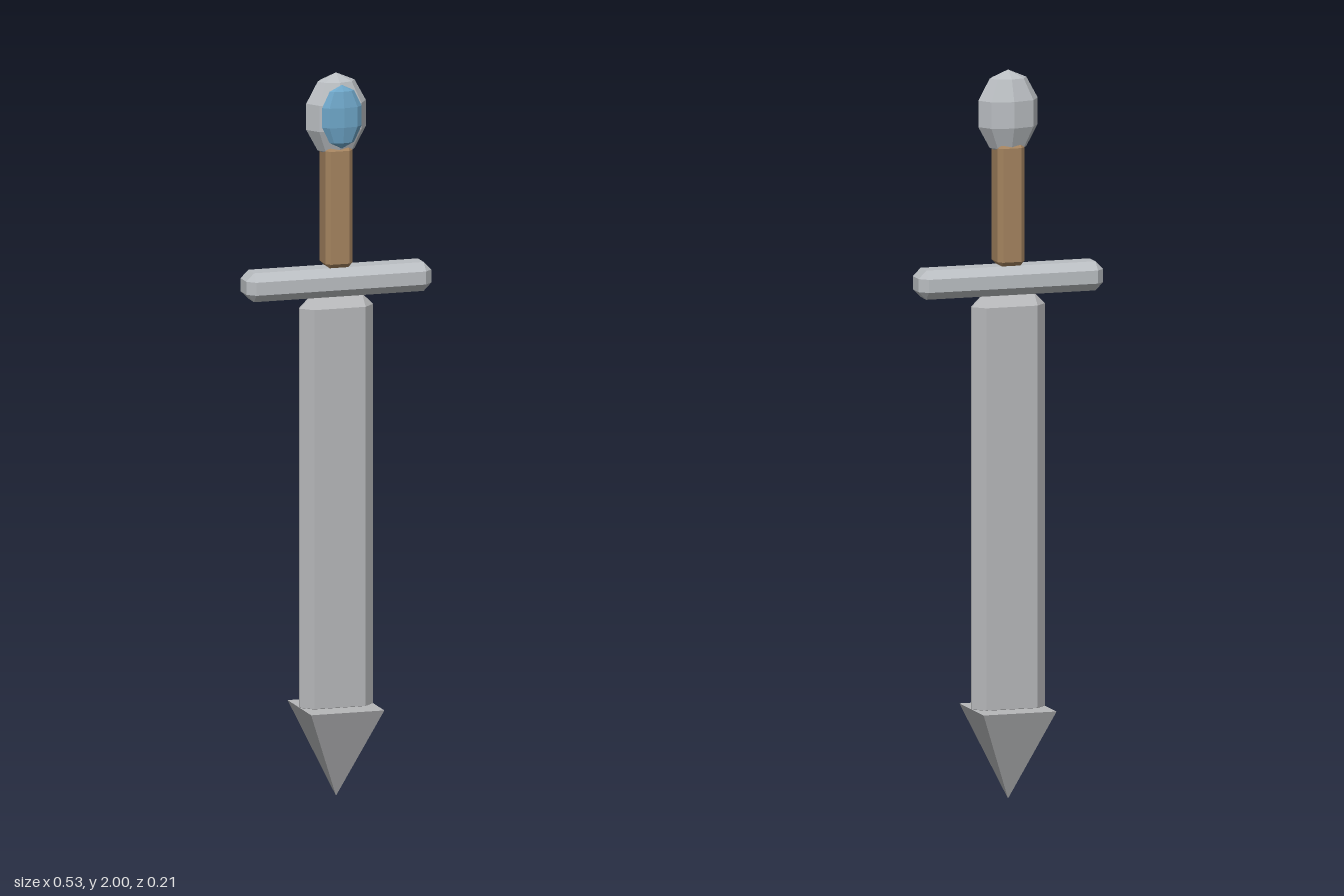
import * as THREE from 'three';
import { ConvexGeometry } from 'three/addons/geometries/ConvexGeometry.js';

const material = (name, color) => {
  const m = new THREE.MeshStandardMaterial({ color, flatShading: true });
  m.name = name;
  return m;
};

// Box with every edge and corner cut off by a flat bevel
function bevelledBox(hx, hy, hz, b) {
  const points = [];
  for (const x of [-1, 1]) for (const y of [-1, 1]) for (const z of [-1, 1]) {
    points.push(
      new THREE.Vector3(x * hx, y * (hy - b), z * (hz - b)),
      new THREE.Vector3(x * (hx - b), y * hy, z * (hz - b)),
      new THREE.Vector3(x * (hx - b), y * (hy - b), z * hz)
    );
  }
  return new ConvexGeometry(points);
}

// Coarse faceted ellipsoid
const facetedEllipsoid = (rx, ry, rz) => new THREE.SphereGeometry(1, 8, 5).scale(rx, ry, rz);

export function createModel() {
  const group = new THREE.Group();
  group.name = 'sword';
  const steel = material('blade steel', 0xb6b7b9);
  const silver = material('guard silver', 0xbabec2);
  const wood = material('grip brown', 0xa4835f);
  const blue = material('gem blue', 0x6ea6c8);

  const add = (name, geometry, mat, y, z = 0) => {
    const mesh = new THREE.Mesh(geometry, mat);
    mesh.name = name;
    mesh.position.set(0, y, z);
    group.add(mesh);
  };

  // Blade, its lower bevel sunk into the tip
  add('blade', bevelledBox(0.104, 0.5825, 0.035, 0.031), steel, 0.8025);

  // Square pyramid tip pointing down
  const tip = new THREE.ConeGeometry(0.104 * Math.SQRT2, 0.25, 4);
  tip.rotateY(Math.PI / 4).rotateX(Math.PI);
  add('tip', tip, steel, 0.125);

  // Hilt
  add('guard', bevelledBox(0.263, 0.04, 0.047, 0.022), silver, 1.425);
  add('grip', bevelledBox(0.038, 0.168, 0.038, 0.012), wood, 1.633);
  add('pommel', facetedEllipsoid(0.089, 0.1175, 0.057), silver, 1.8825);
  add('gem', facetedEllipsoid(0.059, 0.088, 0.022), blue, 1.888, 0.052);

  return group;
}
